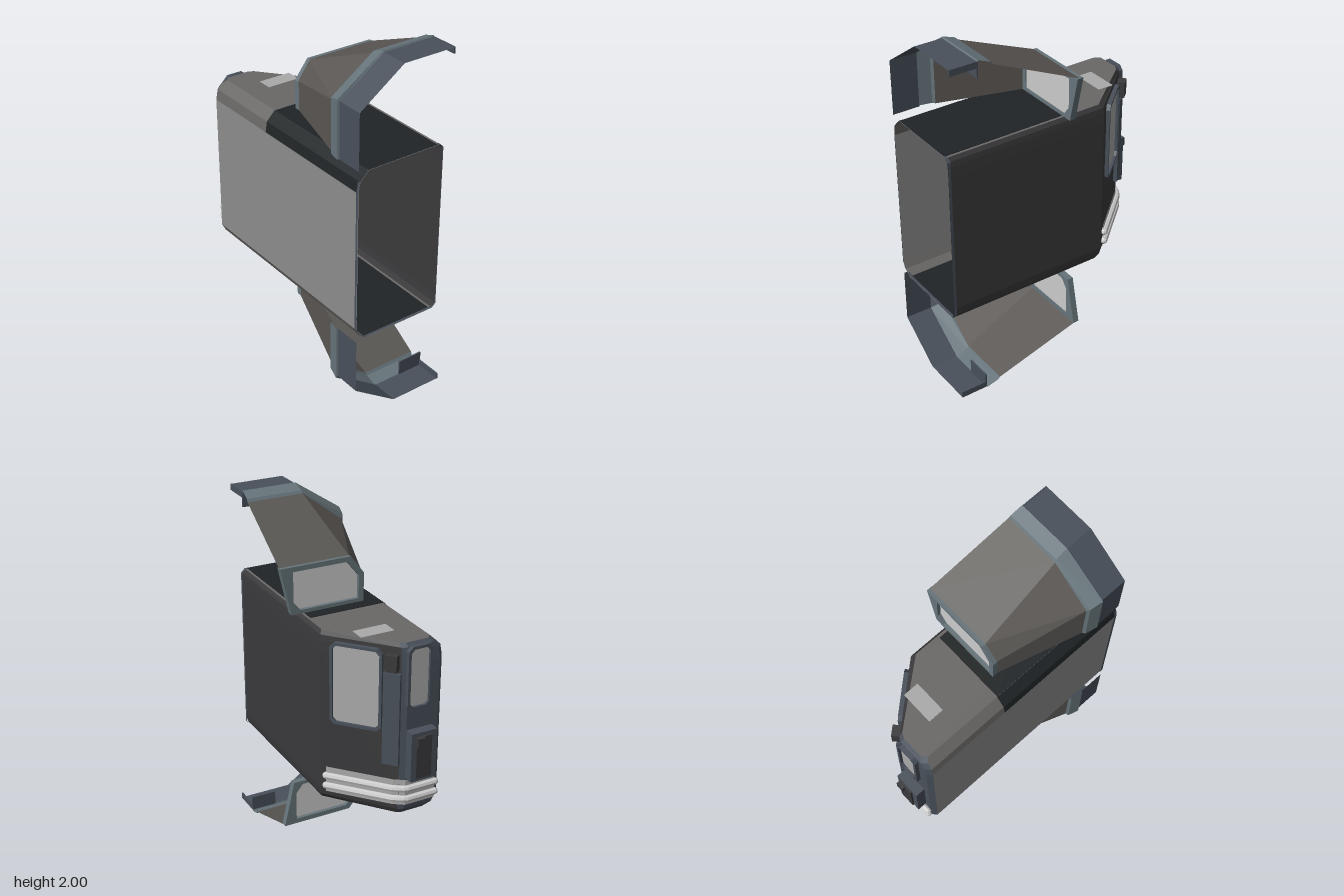
import * as THREE from 'three';

const mat = (color) => new THREE.MeshStandardMaterial({ color, flatShading: true, side: THREE.DoubleSide });
const M = {
  wall: mat(0x8c8c8c), dark: mat(0x3a3a3c), black: mat(0x202426), cap: mat(0x6a6866),
  pod: mat(0x5a5754), band: mat(0x66747a), trim: mat(0x48505a), glass: mat(0xaaaaaa), lamp: mat(0xcccccc),
};

function add(parent, name, geo, material, x = 0, y = 0, z = 0) {
  const m = new THREE.Mesh(geo, material);
  m.name = name;
  m.position.set(x, y, z);
  parent.add(m);
  return m;
}
const box = (w, h, d) => new THREE.BoxGeometry(w, h, d);

// Skin between rows of points [x, y, z]
function loft(rows) {
  const n = rows[0].length, index = [];
  for (let r = 0; r < rows.length - 1; r++)
    for (let i = 0; i < n - 1; i++) {
      const a = r * n + i, b = a + n;
      index.push(a, b, a + 1, a + 1, b, b + 1);
    }
  const g = new THREE.BufferGeometry();
  g.setAttribute('position', new THREE.Float32BufferAttribute(rows.flat(2), 3));
  g.setIndex(index);
  const flat = g.toNonIndexed();
  flat.computeVertexNormals();
  return flat;
}

// Outline plate in the z-y plane, extruded towards -x
function plate(points, depth, hole) {
  const s = new THREE.Shape(points.map((p) => new THREE.Vector2(...p)));
  if (hole) s.holes.push(new THREE.Path(hole.map((p) => new THREE.Vector2(...p))));
  return new THREE.ExtrudeGeometry(s, { depth, bevelEnabled: false }).rotateY(-Math.PI / 2);
}

// Rounded rectangle centred on the origin
function roundRect(w, h, r) {
  const s = new THREE.Shape(), a = w / 2, b = h / 2;
  s.moveTo(-a + r, -b).lineTo(a - r, -b).lineTo(a, -b + r).lineTo(a, b - r);
  s.lineTo(a - r, b).lineTo(-a + r, b).lineTo(-a, b - r).lineTo(-a, -b + r).closePath();
  return s;
}

// Framed pane whose outside faces local +z
function windowUnit(name, w, h) {
  const g = new THREE.Group();
  g.name = name;
  const frame = roundRect(w + 0.03, h + 0.03, 0.025);
  frame.holes.push(roundRect(w, h, 0.02));
  add(g, 'windowFrame', new THREE.ExtrudeGeometry(frame, { depth: 0.025, bevelEnabled: false }), M.trim, 0, 0, -0.005);
  add(g, 'windowPane', new THREE.ExtrudeGeometry(roundRect(w, h, 0.02), { depth: 0.015, bevelEnabled: false }), M.glass, 0, 0, -0.01);
  return g;
}

function hull() {
  const g = new THREE.Group();
  g.name = 'hull';
  // Plan outline, from the open end round the nose and back
  const outline = (y, front, back, nose) => [
    [0.69, y, -0.215 + back], [-0.27 + nose, y, -0.215 + back], [-0.595 + nose, y, 0.07],
    [-0.61 + nose, y, 0.1], [-0.61 + nose, y, 0.285 - front], [-0.585 + nose, y, 0.31 - front], [0.69, y, 0.31 - front],
  ];
  const rows = [
    [0.51, 0.06, 0.02, 0.025], [0.54, 0.02, 0.005, 0.005], [0.58, 0, 0, 0],
    [1.38, 0, 0, 0], [1.44, 0.01, 0.002, 0.002], [1.47, 0.04, 0.005, 0.005], [1.49, 0.06, 0.02, 0.025],
  ].map((r) => outline(...r));
  const part = (name, a, b, r0, r1, m) => add(g, name, loft(rows.slice(r0, r1).map((r) => r.slice(a, b))), m);
  part('backWall', 0, 2, 0, 7, M.dark);
  part('slopedNose', 1, 3, 0, 7, M.dark);
  part('nose', 2, 6, 0, 7, M.trim);
  part('lowerFrontEdge', 5, 7, 0, 3, M.cap);
  part('frontWall', 5, 7, 2, 4, M.wall);
  part('upperFrontEdge', 5, 7, 3, 7, M.cap);
  for (const [name, row, y, s] of [['bottomPanel', rows[0], 0.51, -1], ['topPanel', rows[6], 1.49, 1]]) {
    add(g, name, loft([row, row.map(() => [0.69, y, 0.05])]), M.cap);
    add(g, name + 'Covering', box(0.785, 0.003, 0.43), M.black, 0.295, y + s * 0.001, 0.035);
  }
  // Dark band on the rounded edge and a pale patch on top
  const band = rows.slice(3).map((r) => [[-0.1, r[6][1] + 0.002, r[6][2] + 0.002], [0.69, r[6][1] + 0.002, r[6][2] + 0.002]]);
  add(g, 'edgeBand', loft(band), M.black);
  add(g, 'topPatch', box(0.09, 0.003, 0.19), M.glass, -0.39, 1.491, 0.025);
  // Rim around the open end
  add(g, 'openEndRim', loft([0.675, 0.69].map((x) => [
    [x, 0.512, -0.195], [x, 0.53, -0.217], [x, 1.47, -0.217], [x, 1.492, -0.195],
    [x, 1.492, 0.25], [x, 1.44, 0.303], [x, 1.38, 0.313], [x, 0.58, 0.313], [x, 0.54, 0.293], [x, 0.512, 0.25], [x, 0.512, -0.195],
  ])), M.trim);
  return g;
}

function noseDetails() {
  const g = new THREE.Group();
  g.name = 'noseDetails';
  const slope = Math.atan2(0.285, 0.325);
  const slopeX = (z) => -0.27 - (z + 0.215) * (0.325 / 0.285);
  // Windows on the slope and on the upright nose
  const w1 = windowUnit('slopedWindow', 0.25, 0.43);
  w1.position.set(slopeX(-0.085), 1.22, -0.085);
  w1.rotation.y = Math.PI + Math.PI / 2 - (Math.PI / 2 - slope);
  w1.rotation.y = Math.atan2(-0.285, -0.325);
  g.add(w1);
  const w2 = windowUnit('uprightWindow', 0.11, 0.32);
  w2.position.set(-0.612, 1.305, 0.16);
  w2.rotation.y = -Math.PI / 2;
  g.add(w2);
  // Post with a knob between the windows
  const post = add(g, 'post', box(0.09, 0.52, 0.025), M.trim, slopeX(0.04) - 0.008, 1.07, 0.035);
  post.rotation.y = w1.rotation.y;
  const knob = add(g, 'postKnob', box(0.06, 0.09, 0.05), M.dark, slopeX(0.035) - 0.02, 1.39, 0.03);
  knob.rotation.y = w1.rotation.y;
  // Equipment box
  add(g, 'equipmentBox', plate([[0.1, 0.73], [0.25, 0.73], [0.25, 1.01], [0.1, 1.01]], 0.06), M.trim, -0.605, 0, 0);
  add(g, 'equipmentCover', box(0.015, 0.24, 0.09), M.dark, -0.668, 0.87, 0.17);
  add(g, 'equipmentKnob', box(0.03, 0.05, 0.045), M.dark, -0.678, 0.965, 0.145);
  // Lamp bar wrapping the nose
  const path = (off) => [
    [slopeX(-0.195) - off, -0.195 - off * 0.6], [slopeX(0.05) - off, 0.05 - off * 0.6], [-0.61 - off, 0.1], [-0.61 - off, 0.275],
  ];
  add(g, 'lampBacking', loft([0.57, 0.72].map((y) => path(0.006).map(([x, z]) => [x, y, z]))), M.glass);
  add(g, 'lampBackingInside', loft([0.57, 0.72].map((y) => path(-0.006).map(([x, z]) => [x, y, z]))), M.glass);
  for (const y of [0.61, 0.67]) {
    const pts = path(0.012).map(([x, z]) => new THREE.Vector3(x, y, z));
    const curve = new THREE.CurvePath();
    for (let i = 0; i < pts.length - 1; i++) curve.add(new THREE.LineCurve3(pts[i], pts[i + 1]));
    add(g, 'lampTube', new THREE.TubeGeometry(curve, 40, 0.019, 8), M.lamp);
    for (const p of [pts[0], pts[3]]) add(g, 'lampEnd', new THREE.SphereGeometry(0.019, 8, 6), M.lamp, p.x, p.y, p.z);
  }
  return g;
}

function pod(name) {
  const g = new THREE.Group();
  g.name = name;
  // Open sections: front foot, shoulder, roof front, roof back
  const section = (x, pts) => pts.map(([z, y]) => [x, y, z]);
  const s = [
    section(-0.03, [[0.155, 1.5], [0.155, 1.66], [0.08, 1.76], [-0.32, 1.76]]),
    section(0.45, [[0.29, 1.5], [0.29, 1.78], [0.055, 1.96], [-0.27, 1.96]]),
    section(0.46, [[0.305, 1.5], [0.305, 1.8], [0.052, 1.975], [-0.268, 1.975]]),
    section(0.53, [[0.32, 1.5], [0.32, 1.82], [0.05, 2.0], [-0.262, 2.0]]),
    section(0.535, [[0.31, 1.5], [0.31, 1.81], [0.05, 1.992], [-0.262, 1.992]]),
    section(0.69, [[0.31, 1.5], [0.31, 1.81], [0.05, 1.992], [-0.262, 1.992]]),
  ];
  add(g, 'podShell', loft(s.slice(0, 2)), M.pod);
  add(g, 'podBand', loft(s.slice(1, 5)), M.band);
  add(g, 'podSkirt', loft(s.slice(4)), M.trim);
  // Small hanging plate and lip at the back of the skirt
  add(g, 'skirtPlate', box(0.008, 0.085, 0.15), M.trim, 0.535, 1.95, -0.187);
  add(g, 'skirtLip', box(0.155, 0.035, 0.008), M.trim, 0.612, 1.977, -0.258);
  // Framed panel closing the narrow end
  const outer = [[0.16, 1.5], [0.16, 1.66], [0.082, 1.762], [-0.322, 1.762], [-0.262, 1.5]];
  const inner = [[0.13, 1.52], [0.13, 1.65], [0.06, 1.735], [-0.25, 1.735], [-0.25, 1.57], [-0.21, 1.52]];
  add(g, 'endFrame', plate(outer, 0.035, inner), M.band, -0.01);
  add(g, 'endPanel', plate(inner, 0.01), M.lamp, -0.015);
  return g;
}

export function createModel() {
  const model = new THREE.Group();
  model.name = 'cabin';
  model.add(hull(), noseDetails(), pod('upperPod'));
  // The lower pod mirrors the upper one
  const lower = pod('lowerPod');
  lower.scale.y = -1;
  lower.position.y = 2;
  model.add(lower);
  return model;
}
